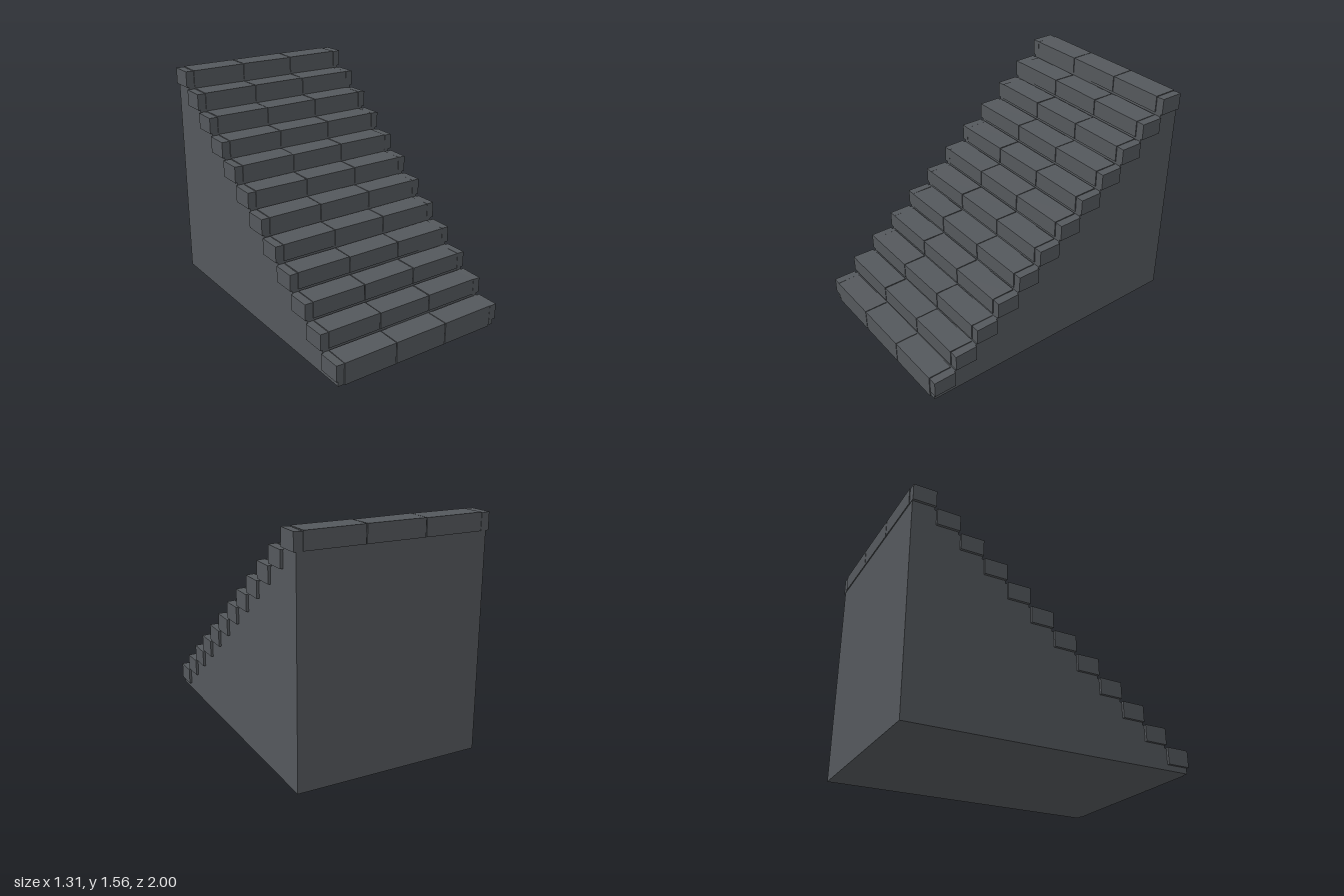
import * as THREE from 'three';

const STEPS = 12, RISE = 0.1277, RUN = 0.1667, FIRST_TOP = 0.155, INSET = 0.007;

// Small seeded generator for the hand-cut unevenness of the stones
function seeded(seed) {
  return () => {
    seed = (seed * 16807) % 2147483647;
    return seed / 2147483647;
  };
}

export function createModel() {
  const group = new THREE.Group();
  group.name = 'stoneStaircase';
  const stone = new THREE.MeshStandardMaterial({ color: 0x54585c });
  stone.name = 'dark grey stone';
  const random = seeded(41);

  // Solid core: stepped side profile, extruded across the width
  const profile = new THREE.Shape();
  profile.moveTo(0.992, 0);
  for (let i = 0; i < STEPS; i++) {
    const z = 1 - i * RUN - INSET;
    const y = FIRST_TOP + i * RISE - INSET;
    profile.lineTo(z, y);
    profile.lineTo(i === STEPS - 1 ? -0.992 : z - RUN, y);
  }
  profile.lineTo(-0.992, 0);
  const coreGeometry = new THREE.ExtrudeGeometry(profile, { depth: 1.274, bevelEnabled: false });
  coreGeometry.translate(0, 0, -0.637);
  coreGeometry.rotateY(-Math.PI / 2);
  const core = new THREE.Mesh(coreGeometry, stone);
  core.name = 'core';
  group.add(core);

  // Block between two corners, with its top corners sunk a touch
  function addBlock(parent, name, x0, x1, y0, y1, z0, z1) {
    const geometry = new THREE.BoxGeometry(x1 - x0, y1 - y0, z1 - z0);
    const p = geometry.attributes.position;
    const sink = [0, 1, 2, 3].map(() => random() * 0.004);
    for (let i = 0; i < p.count; i++) {
      if (p.getY(i) > 0) {
        const corner = (p.getX(i) > 0 ? 1 : 0) + (p.getZ(i) > 0 ? 2 : 0);
        p.setY(i, p.getY(i) - sink[corner]);
      }
    }
    geometry.computeVertexNormals();
    const mesh = new THREE.Mesh(geometry, stone);
    mesh.name = name;
    mesh.position.set((x0 + x1) / 2, (y0 + y1) / 2, (z0 + z1) / 2);
    parent.add(mesh);
  }

  for (let i = 0; i < STEPS; i++) {
    const step = new THREE.Group();
    step.name = `step${i + 1}`;
    const top = FIRST_TOP + i * RISE + 0.001;
    const bottom = top - 0.117;
    const front = 1 - i * RUN;
    const back = front - RUN + 0.002;
    // Three tread stones with narrow joints
    for (const [x0, x1] of [[-0.594, -0.203], [-0.197, 0.197], [0.203, 0.594]]) {
      addBlock(step, 'treadStone', x0, x1, i === 0 ? 0 : bottom, top, back, front);
    }
    // End stones jutting out past the side walls
    for (const side of [-1, 1]) {
      const xs = [side * 0.599, side * 0.654].sort((a, b) => a - b);
      addBlock(step, 'endStone', xs[0], xs[1], bottom, top - 0.003, back + 0.003, front - 0.003);
    }
    group.add(step);
  }
  return group;
}
